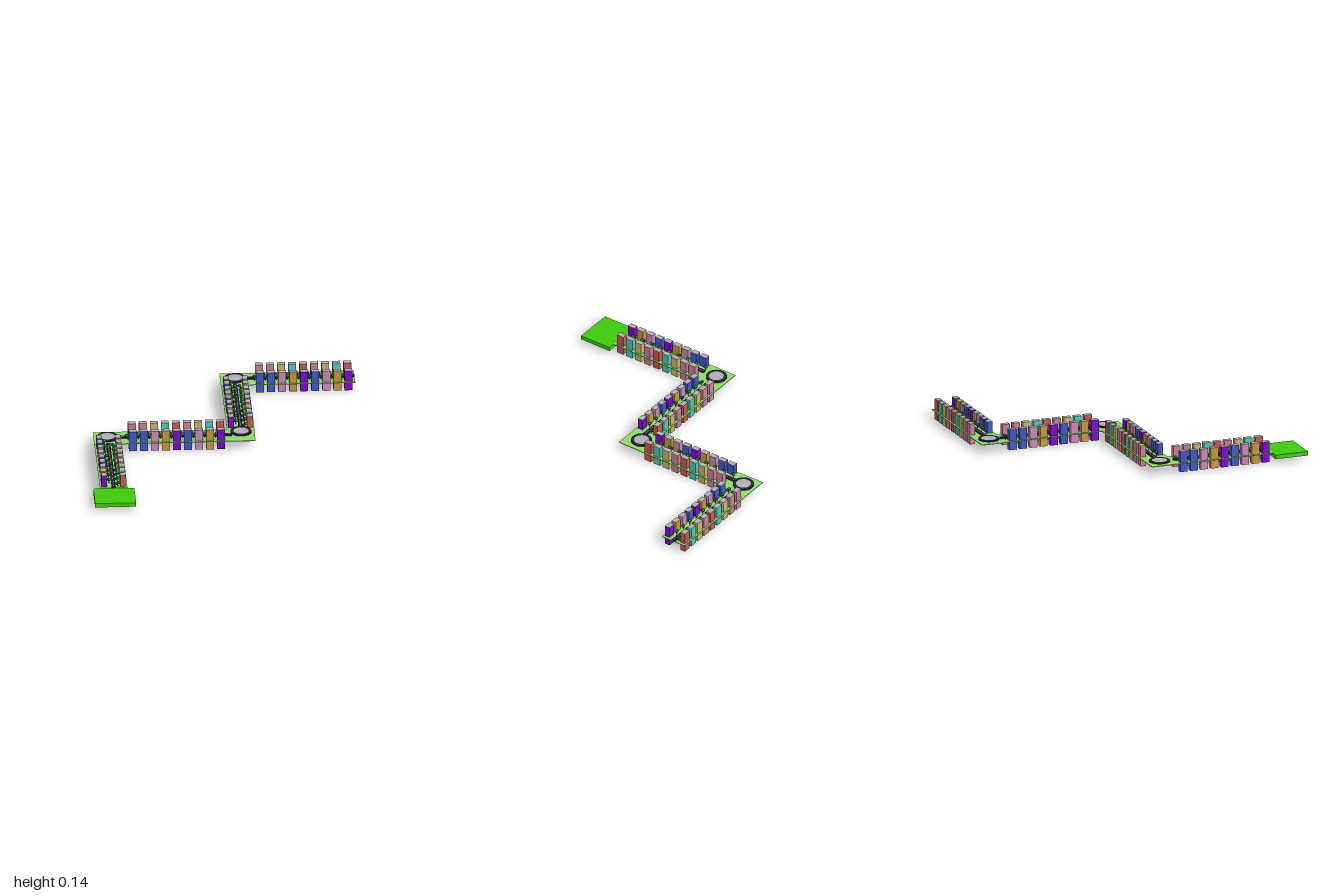
import * as THREE from 'three';

const mat = (color, flatShading = false) => new THREE.MeshStandardMaterial({ color, flatShading });
const M = {
  grass: mat(0x8fdc6a), lawn: mat(0x3ecb0c), road: mat(0x25223a), line: mat(0xe8e8e8),
  grey: mat(0xb2b0b0), leaf: mat(0x2c6b38, true), trunk: mat(0x4a3626),
  purple: mat(0x7a0acb), gold: mat(0xc6983f), mauve: mat(0xcb8ab8), blue: mat(0x4357c6),
  red: mat(0xc95a55), teal: mat(0x4fc9b8), sand: mat(0xc8b76a), rose: mat(0xc88098),
};
const LEFT = ['purple', 'gold', 'mauve', 'blue', 'purple', 'gold', 'mauve', 'blue', 'blue'];
const RIGHT = ['red', 'teal', 'sand', 'rose', 'red', 'teal', 'sand', 'rose', 'rose'];

const GROUND = 0.062, PITCH = 0.0748, LENGTH = 0.69, WIDTH = 0.186;

function add(parent, name, geometry, material, x, y, z) {
  const mesh = new THREE.Mesh(geometry, material);
  mesh.name = name;
  mesh.position.set(x, y, z);
  parent.add(mesh);
  return mesh;
}
const box = (w, h, d) => new THREE.BoxGeometry(w, h, d);

const wallGeo = box(0.037, 0.144, 0.053);
const roofGeo = box(0.037, 0.001, 0.053);
const leafGeo = new THREE.IcosahedronGeometry(0.0125, 1);
const trunkGeo = new THREE.CylinderGeometry(0.002, 0.003, 0.024, 6);
const dashGeo = box(0.003, 0.001, 0.012);

// Tower block with coloured walls and a grey roof
function building(color) {
  const g = new THREE.Group();
  g.name = 'building';
  add(g, 'walls', wallGeo, M[color], 0, 0.072, 0);
  add(g, 'roof', roofGeo, M.grey, 0, 0.1445, 0);
  return g;
}

// Small tree with two clumps of leaves
function tree(turn) {
  const g = new THREE.Group();
  g.name = 'tree';
  add(g, 'trunk', trunkGeo, M.trunk, 0, 0.012, 0);
  add(g, 'foliage', leafGeo, M.leaf, 0.005, 0.028, 0.003).scale.set(1, 0.85, 1);
  add(g, 'foliage', leafGeo, M.leaf, -0.008, 0.021, -0.006).scale.setScalar(0.75);
  g.rotation.y = turn;
  return g;
}

// Street block running along z, its first end at +z
function street(extendStart, extendEnd) {
  const g = new THREE.Group();
  g.name = 'street';
  add(g, 'grassStrip', box(WIDTH, 0.005, LENGTH), M.grass, 0, GROUND, 0);

  const roadLength = LENGTH + extendStart + extendEnd;
  const mid = (extendStart - extendEnd) / 2;
  add(g, 'road', box(0.028, 0.009, roadLength), M.road, 0, 0.069, mid);
  const dashes = Math.floor(roadLength / 0.022);
  for (let i = 0; i < dashes; i++) {
    add(g, 'laneDash', dashGeo, M.line, 0, 0.0737, mid + (i - (dashes - 1) / 2) * 0.022);
  }

  for (let i = 0; i < 9; i++) {
    const z = (4 - i) * PITCH;
    for (const [side, colors] of [[-1, LEFT], [1, RIGHT]]) {
      const b = building(colors[i]);
      b.position.set(side * 0.0635, 0, z);
      g.add(b);
      const t = tree(side * 0.6 + i * 0.25);
      t.position.set(side * 0.029, GROUND + 0.002, z + (side < 0 ? -0.035 : 0.022));
      g.add(t);
    }
  }
  return g;
}

// Round junction: dark ring road around a grey island
function roundabout(x, z, y) {
  const g = new THREE.Group();
  g.name = 'roundabout';
  const ring = new THREE.Shape().absarc(0, 0, 0.071, 0, Math.PI * 2);
  ring.holes.push(new THREE.Path().absarc(0, 0, 0.05, 0, Math.PI * 2, true));
  const ringGeo = new THREE.ExtrudeGeometry(ring, { depth: 0.009, bevelEnabled: false, curveSegments: 32 });
  ringGeo.rotateX(-Math.PI / 2);
  add(g, 'ringRoad', ringGeo, M.road, 0, 0, 0);
  add(g, 'island', new THREE.CylinderGeometry(0.051, 0.051, 0.01, 40), M.grey, 0, 0.004, 0);
  g.position.set(x, y, z);
  return g;
}

export function createModel() {
  const model = new THREE.Group();
  model.name = 'zigzagStreet';

  // Start lawn
  add(model, 'startLawn', box(0.278, 0.029, 0.236), M.lawn, -0.794, 0.0475, 0.88);

  // Four streets: x, z, turn, road overlap at each end
  const quarter = Math.PI / 2;
  for (const [x, z, turn, a, b] of [
    [-0.794, 0.415, 0, 0, 0],
    [-0.326, -0.028, quarter, 0.03, 0.055],
    [0.115, -0.467, 0, 0.01, 0.035],
    [0.585, -0.908, quarter, 0, 0.085],
  ]) {
    const s = street(a, b);
    s.position.set(x, 0, z);
    s.rotation.y = turn;
    model.add(s);
  }

  // Corner lawns joining the streets
  for (const [x0, x1, z0, z1] of [
    [-0.888, -0.671, -0.121, 0.07],
    [0.019, 0.206, -0.122, 0.066],
    [0.019, 0.24, -1, -0.812],
  ]) {
    add(model, 'cornerLawn', box(x1 - x0, 0.005, z1 - z0), M.grass, (x0 + x1) / 2, GROUND, (z0 + z1) / 2);
  }

  model.add(
    roundabout(-0.793, -0.03, 0.067),
    roundabout(0.114, -0.057, 0.074),
    roundabout(0.119, -0.91, 0.067),
  );
  return model;
}
